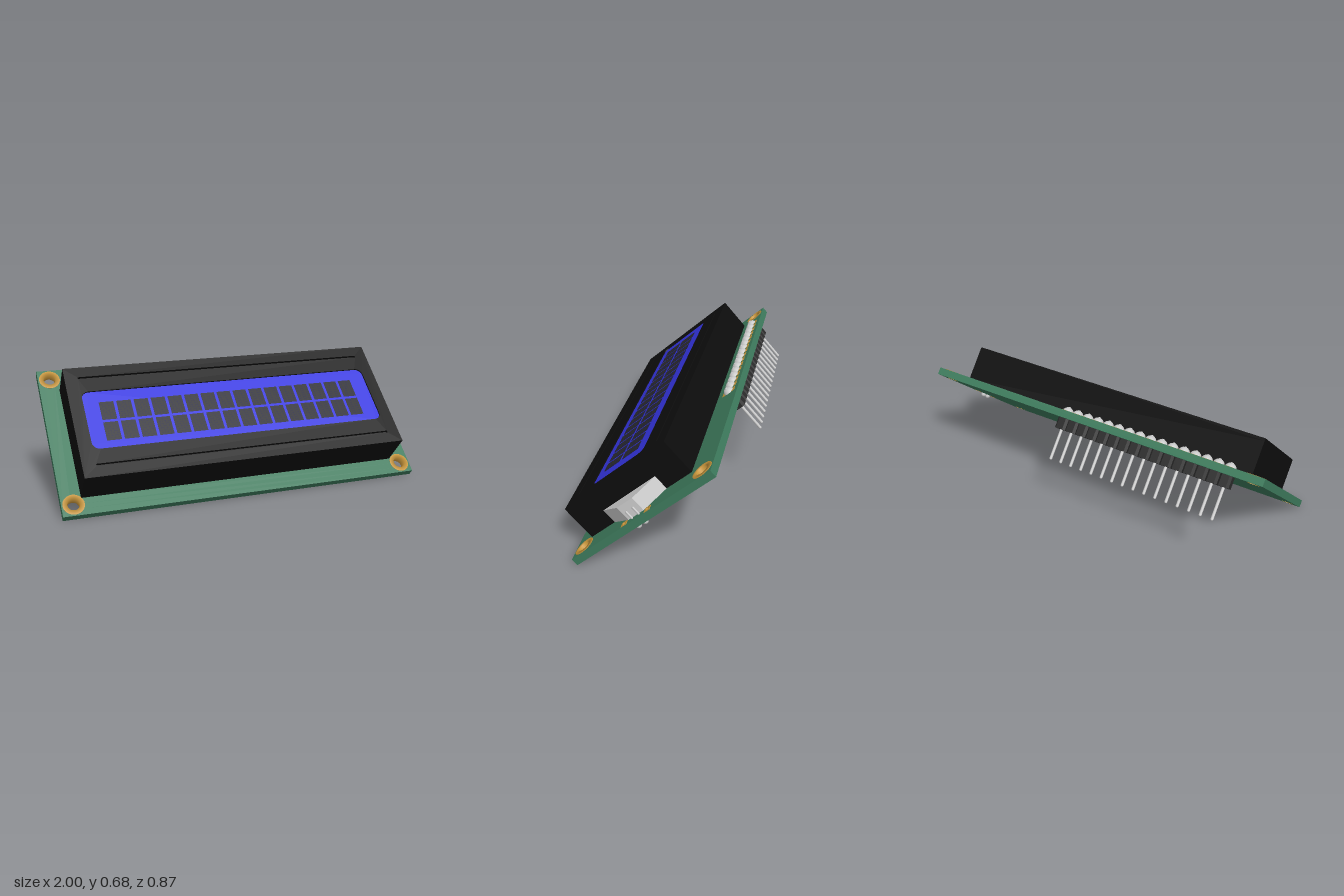
import * as THREE from 'three';
import { mergeGeometries } from 'three/addons/utils/BufferGeometryUtils.js';

const mat = (color, side = THREE.FrontSide) => new THREE.MeshStandardMaterial({ color, side });
const M = {
  board: mat(0x3d7a5c), black: mat(0x0d0d0d), plastic: mat(0x2a2a2a), blue: mat(0x3333dd),
  cell: mat(0x1c1c40), pixel: mat(0x2a2a2e), gold: mat(0xc8963c, THREE.DoubleSide), grey: mat(0xcccccc),
};

// Closed outline of a rectangle, with rounded corners when r > 0
function rect(path, cx, cy, w, h, r = 0) {
  const x = w / 2 - r, y = h / 2 - r;
  path.moveTo(cx + x, cy - y - r);
  if (r) {
    path.absarc(cx + x, cy - y, r, -Math.PI / 2, 0);
    path.absarc(cx + x, cy + y, r, 0, Math.PI / 2);
    path.absarc(cx - x, cy + y, r, Math.PI / 2, Math.PI);
    path.absarc(cx - x, cy - y, r, Math.PI, Math.PI * 1.5);
  } else {
    path.lineTo(cx + x, cy + y);
    path.lineTo(cx - x, cy + y);
    path.lineTo(cx - x, cy - y);
  }
  path.closePath();
  return path;
}
const circle = (path, x, y, r) => path.absarc(x, y, r, 0, Math.PI * 2);

// Extrude a shape along z from z0 to z1
function slab(shape, z0, z1) {
  return new THREE.ExtrudeGeometry(shape, { depth: z1 - z0, bevelEnabled: false, curveSegments: 16 })
    .translate(0, 0, z0);
}
function box(w, h, z0, z1, x = 0, y = 0) {
  return new THREE.BoxGeometry(w, h, z1 - z0).translate(x, y, (z0 + z1) / 2);
}
// Solid or hollow part turned around the z direction, from [radius, z] points
function turned(points, x, y, segments = 16) {
  return new THREE.LatheGeometry(points.map(p => new THREE.Vector2(...p)), segments)
    .rotateX(Math.PI / 2).translate(x, y, 0);
}

export function createModel() {
  const model = new THREE.Group();
  // Flat layout: x along the board, y up the board, z out of its face
  const display = new THREE.Group();
  display.name = 'displayModule';
  display.rotation.x = -THREE.MathUtils.degToRad(48.6);
  display.position.set(0, 0.2975, 0.0125);
  model.add(display);
  const add = (name, geometry, material) => {
    const mesh = new THREE.Mesh(Array.isArray(geometry) ? mergeGeometries(geometry) : geometry, material);
    mesh.name = name;
    display.add(mesh);
  };

  const T = 0.04;                 // board thickness
  const CX = -0.005, CY = -0.022; // screen centre

  // Circuit board with corner holes and two small plated holes
  const corners = [];
  for (const sx of [-1, 1]) for (const sy of [-1, 1]) corners.push([sx * 0.9375, sy * 0.3875]);
  const sidePads = [[0.976, 0.057], [0.976, -0.094]];
  const outline = rect(new THREE.Shape(), 0, 0, 2, 0.9);
  for (const [x, y] of corners) outline.holes.push(circle(new THREE.Path(), x, y, 0.033));
  for (const [x, y] of sidePads) outline.holes.push(circle(new THREE.Path(), x, y, 0.01));
  add('circuitBoard', slab(outline, 0, T), M.board);

  // Gold linings and rings of the mounting holes
  add('mountingRings', corners.map(([x, y]) =>
    turned([[0.032, 0], [0.032, T + 0.002], [0.056, T + 0.002], [0.056, T]], x, y, 32)), M.gold);
  add('sidePads', sidePads.map(([x, y]) => {
    const s = rect(new THREE.Shape(), x, y, 0.036, 0.036);
    s.holes.push(circle(new THREE.Path(), x, y, 0.009));
    return slab(s, -0.001, T + 0.002);
  }), M.gold);

  // Black screen housing and its front frame with window and grooves
  const W = 1.78, H = 0.666, FLOOR = 0.222, FACE = 0.236;
  add('screenHousing', box(W, H, T, FLOOR, CX, CY), M.black);
  const frame = rect(new THREE.Shape(), CX, CY, W, H);
  frame.holes.push(rect(new THREE.Path(), CX, CY, 1.64, 0.35, 0.04));
  for (const s of [-1, 1]) frame.holes.push(rect(new THREE.Path(), CX, CY + s * 0.265, 1.64, 0.012));
  add('screenFrame', slab(frame, FLOOR, FACE), M.black);

  // Blue window
  add('screenWindow', slab(rect(new THREE.Shape(), CX, CY, 1.64, 0.35, 0.04), FLOOR, 0.229), M.blue);

  // Two rows of sixteen character cells, each five by eight dots
  const cells = [], dots = [];
  const cw = 0.077, ch = 0.11, dx = cw / 5, dy = ch / 8;
  for (let row = 0; row < 2; row++) {
    for (let col = 0; col < 16; col++) {
      const x = -0.012 + (col - 7.5) * 0.0925, y = -0.034 + (0.5 - row) * 0.125;
      cells.push(new THREE.PlaneGeometry(cw, ch).translate(x, y, 0.2305));
      for (let i = 0; i < 5; i++) for (let j = 0; j < 8; j++) {
        dots.push(new THREE.PlaneGeometry(dx * 0.9, dy * 0.9)
          .translate(x + (i - 2) * dx, y + (j - 3.5) * dy, 0.232));
      }
    }
  }
  add('characterCells', cells, M.cell);
  add('characterDots', dots, M.pixel);

  // Pin header: chamfered blocks under the board, pins, pads and solder cones
  const blocks = [], pins = [], pads = [], solder = [];
  const P = 0.0635, PY = 0.387;
  for (let i = 0; i < 16; i++) {
    const x = -0.803 + i * P, a = P / 2, c = 0.012;
    const block = new THREE.Shape([
      [-a, -a + c], [-a + c, -a], [a - c, -a], [a, -a + c],
      [a, a - c], [a - c, a], [-a + c, a], [-a, a - c],
    ].map(([u, v]) => new THREE.Vector2(x + u, PY + v)));
    blocks.push(slab(block, -0.061, 0));
    pins.push(turned([[0, -0.232], [0.005, -0.231], [0.0078, -0.226], [0.0078, 0.066], [0, 0.068]], x, PY, 12));
    pads.push(box(0.044, 0.08, T, T + 0.002, x, PY));
    solder.push(turned([[0.03, T], [0.028, 0.048], [0.021, 0.057], [0.012, 0.063], [0, 0.064]], x, PY));
  }
  add('headerBlocks', blocks, M.plastic);
  add('headerPins', pins, M.grey);
  add('headerPads', pads, M.gold);
  add('headerSolder', solder, M.grey);

  // Tapered backlight block at the model's left end, with its two soldered leads
  const light = new THREE.Shape([[0.87, -0.195], [0.885, -0.195], [0.963, -0.072], [0.963, 0.028], [0.885, 0.152], [0.87, 0.152]]
    .map(p => new THREE.Vector2(...p)));
  add('backlightBlock', slab(light, T, 0.122), M.grey);
  const leadY = [-0.043, 0.001];
  add('backlightLeads', leadY.map(y =>
    turned([[0, -0.01], [0.006, -0.01], [0.006, 0.086], [0, 0.087]], 0.972, y, 10)), M.grey);
  add('backlightSolder', leadY.map(y =>
    turned([[0, -0.02], [0.01, -0.018], [0.015, -0.01], [0.016, 0]], 0.972, y)), M.grey);

  return model;
}
